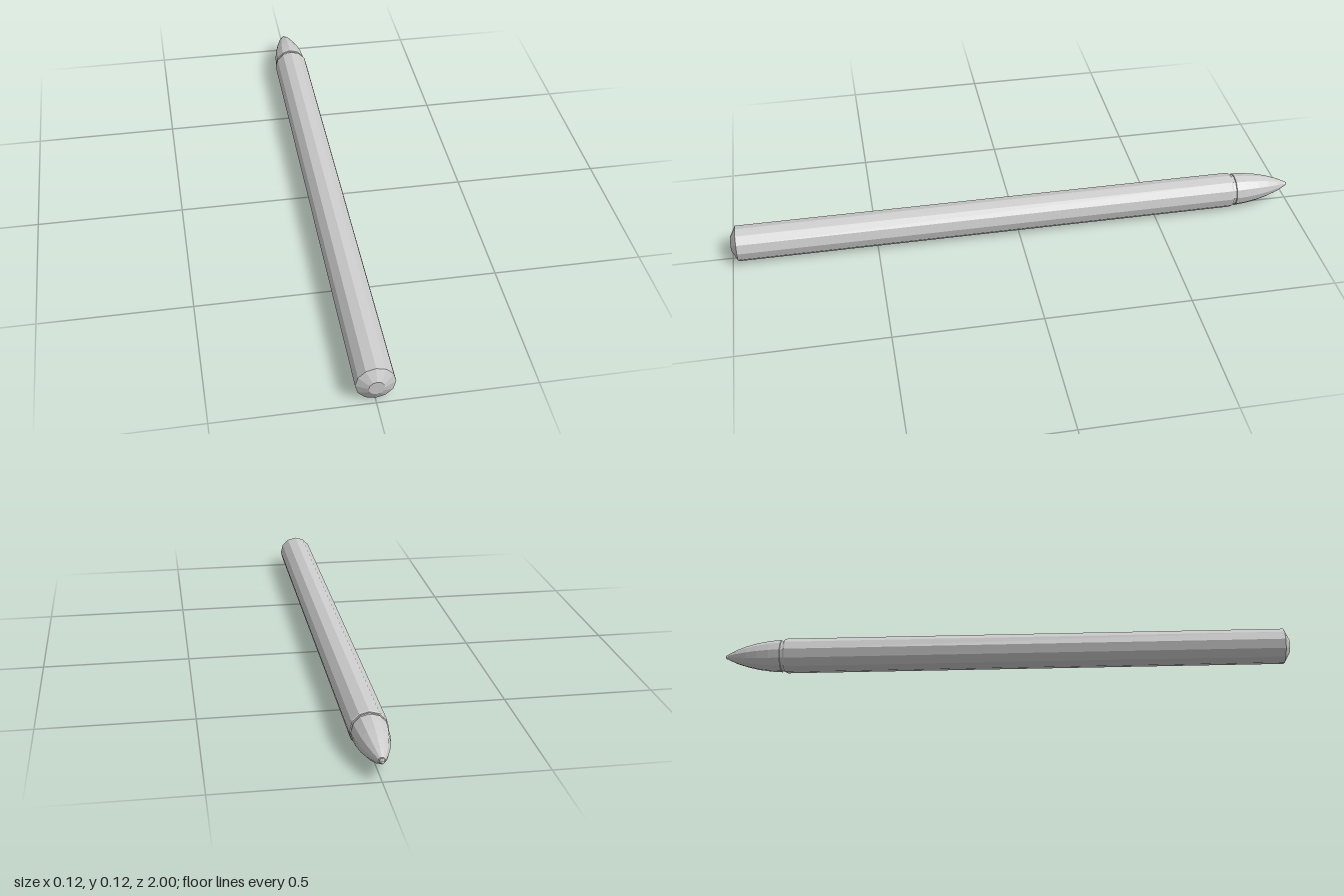
import * as THREE from 'three';

const SIDES = 12;
const RADIUS = 0.062;

export function createModel() {
  const material = new THREE.MeshStandardMaterial({ color: 0xcccccc, flatShading: true });
  const pen = new THREE.Group();
  pen.name = 'stylus';

  // Turned part: profile of [radius, z] pairs running from back to front
  function turned(name, profile) {
    const points = profile.map(([r, z]) => new THREE.Vector2(r, z));
    const geometry = new THREE.LatheGeometry(points, SIDES);
    geometry.rotateX(Math.PI / 2);
    geometry.translate(0, RADIUS, 0);
    const mesh = new THREE.Mesh(geometry, material);
    mesh.name = name;
    pen.add(mesh);
  }

  // Small blunt nib at the very point
  turned('nib', [[0, -1], [0.005, -0.999], [0.008, -0.994], [0.008, -0.986]]);

  // Bullet-shaped tip
  turned('tip', [
    [0, -0.988], [0.011, -0.988], [0.025, -0.958], [0.038, -0.92],
    [0.048, -0.88], [0.055, -0.835], [0.058, -0.796], [0.054, -0.794],
  ]);

  // Recessed ring between tip and barrel
  turned('grooveRing', [[0.055, -0.796], [0.055, -0.78]]);

  // Long faceted barrel
  turned('barrel', [[0.054, -0.784], [0.059, -0.784], [RADIUS, -0.778], [RADIUS, 0.98]]);

  // Chamfered end cap with a flat centre
  turned('endCap', [[RADIUS, 0.98], [0.025, 1], [0, 1]]);

  return pen;
}
